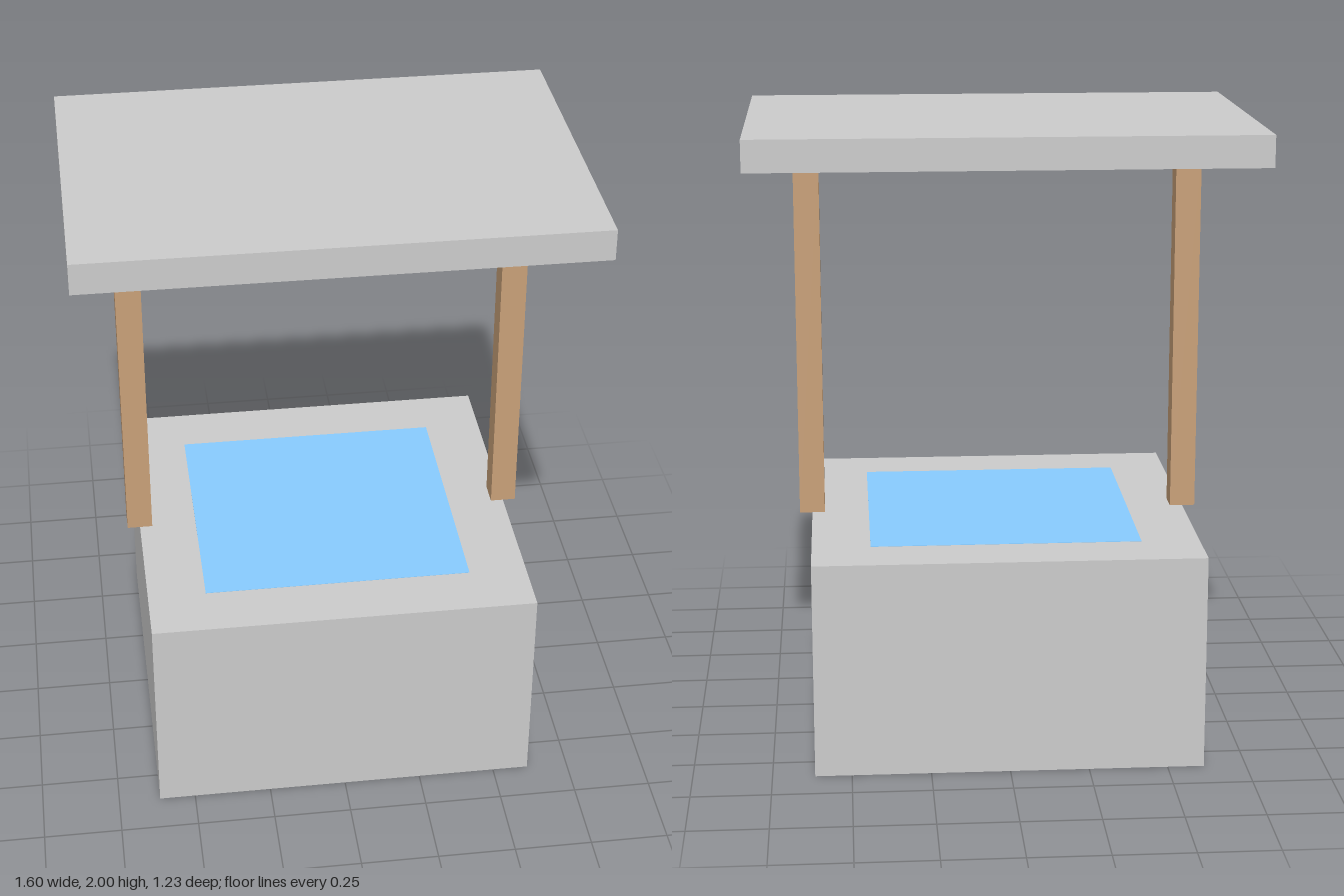
import * as THREE from 'three';

const BASE_TOP = 0.693, ROOF_BOTTOM = 1.9;

export function createModel() {
  const model = new THREE.Group();
  model.name = 'well';
  const stone = new THREE.MeshStandardMaterial({ color: 0xcccccc });
  const wood = new THREE.MeshStandardMaterial({ color: 0xc8a078 });
  const blue = new THREE.MeshStandardMaterial({ color: 0x88ccff });

  // Box given by its size, its centre in x and its bottom height
  const addBox = (name, material, w, h, d, x, bottom) => {
    const mesh = new THREE.Mesh(new THREE.BoxGeometry(w, h, d), material);
    mesh.name = name;
    mesh.position.set(x, bottom + h / 2, 0);
    model.add(mesh);
  };

  // Solid base with a shallow sheet of water on top
  addBox('base', stone, 1.232, BASE_TOP, 1.232, 0, 0);
  addBox('water', blue, 0.86, 0.1, 0.86, 0, BASE_TOP - 0.099);

  // Posts centred on the side edges of the base
  for (const side of [1, -1]) {
    addBox(side > 0 ? 'leftPost' : 'rightPost', wood,
      0.082, ROOF_BOTTOM - BASE_TOP, 0.082, side * 0.616, BASE_TOP);
  }

  // Flat roof slab
  addBox('roof', stone, 1.6, 2 - ROOF_BOTTOM, 1.108, 0, ROOF_BOTTOM);

  return model;
}
